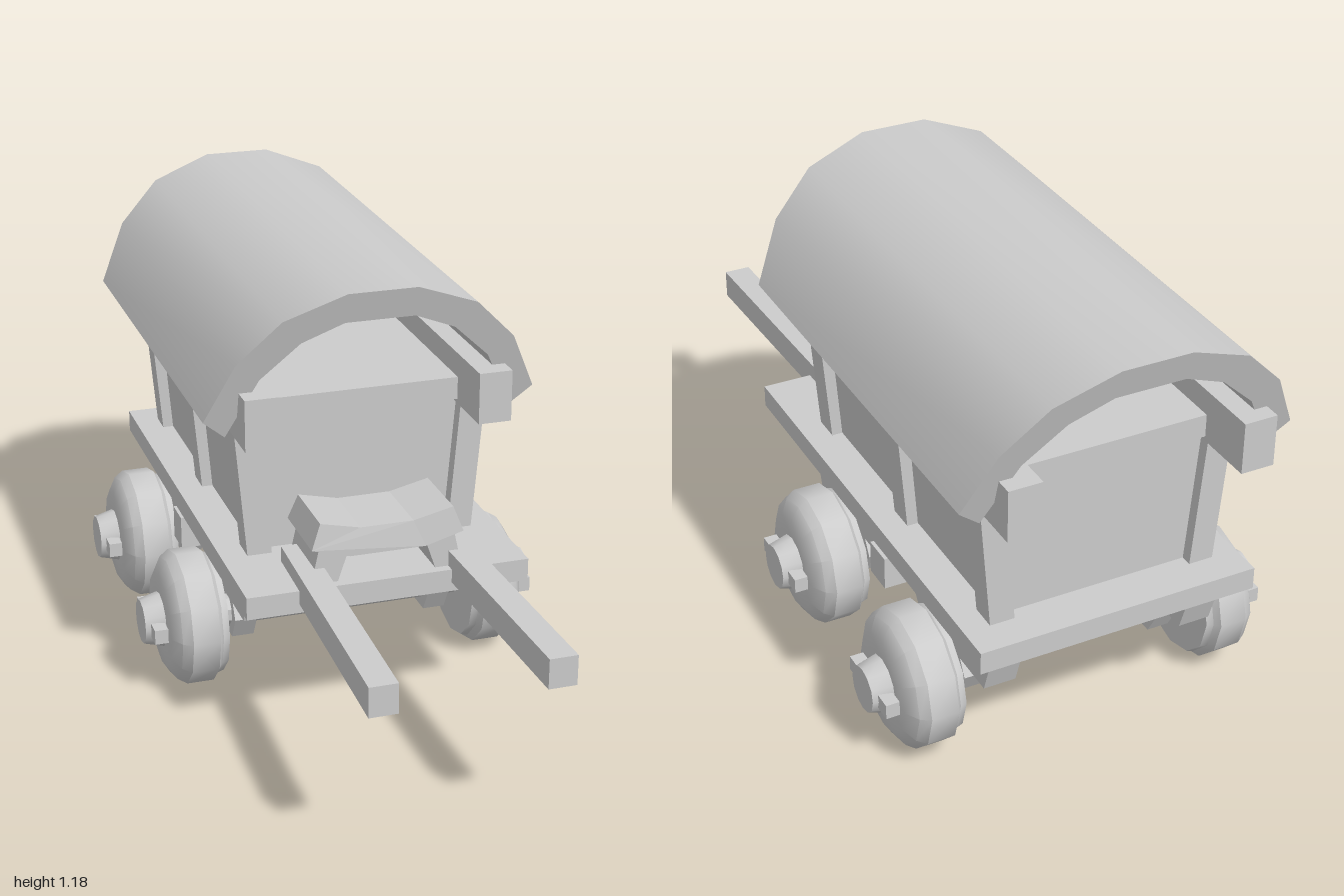
import * as THREE from 'three';
import { toCreasedNormals } from 'three/addons/utils/BufferGeometryUtils.js';

const mat = new THREE.MeshStandardMaterial({ color: 0xcccccc });
const flat = new THREE.MeshStandardMaterial({ color: 0xcccccc, flatShading: true });

export function createModel() {
  const group = new THREE.Group();

  const add = (name, geo, material = flat) => {
    const mesh = new THREE.Mesh(geo, material);
    mesh.name = name;
    group.add(mesh);
    return mesh;
  };
  // Box given by its limits
  const box = (name, x0, x1, y0, y1, z0, z1) =>
    add(name, new THREE.BoxGeometry(x1 - x0, y1 - y0, z1 - z0)
      .translate((x0 + x1) / 2, (y0 + y1) / 2, (z0 + z1) / 2));
  // Outline in x,y extruded from z0 to z1
  const prism = (pts, z0, z1) => new THREE.ExtrudeGeometry(
    new THREE.Shape(pts.map(p => new THREE.Vector2(p[0], p[1]))),
    { depth: z1 - z0, bevelEnabled: false }).translate(0, 0, z0);
  // Left half of an outline completed with its mirror image
  const mirrored = pts => [...pts, ...pts.map(([x, y]) => [-x, y]).reverse()];

  // Arched roof, its ends leaning outwards towards the top
  const outer = [[0.433, 0.855], [0.36, 1.01], [0.25, 1.12], [0.09, 1.18]];
  const inner = [[0.375, 0.805], [0.297, 0.962], [0.198, 1.055], [0.09, 1.1]];
  const roof = prism([...mirrored(outer), ...mirrored(inner).reverse()], 0, 1);
  const p = roof.attributes.position;
  for (let i = 0; i < p.count; i++) {
    const drop = 1.18 - p.getY(i);
    p.setZ(i, p.getZ(i) > 0.5 ? 0.345 - drop * 0.28 : -1 + drop * 0.29);
  }
  add('roof', toCreasedNormals(roof, 0.6), mat);

  // Cabin, widening upwards
  add('cabin', prism([[-0.275, 0.43], [0.275, 0.43], [0.31, 0.867], [-0.31, 0.867]], -0.785, 0.14));
  box('frontCrossbar', -0.27, 0.27, 0.807, 0.867, 0.1, 0.175);
  box('backCrossbar', -0.27, 0.27, 0.807, 0.867, -0.815, -0.74);

  // Platform and the beam beneath its middle
  box('platform', -0.373, 0.373, 0.383, 0.443, -0.9, 0.41);
  box('underCrossbeam', -0.37, 0.37, 0.27, 0.36, -0.365, -0.28);

  // Driver's seat
  const seat = prism([[-0.2, 0.54], [-0.1, 0.512], [0.1, 0.512], [0.2, 0.54],
    [0.175, 0.606], [0.07, 0.582], [-0.07, 0.582], [-0.175, 0.606]], 0.185, 0.395);
  const sp = seat.attributes.position;
  for (let i = 0; i < sp.count; i++) {
    if (sp.getY(i) > 0.56) sp.setZ(i, 0.29 + (sp.getZ(i) - 0.29) * 0.9);
  }
  seat.computeVertexNormals();
  add('seat', seat);

  for (const s of [1, -1]) {
    const side = s > 0 ? 'left' : 'right';
    const span = (name, a, b, ...rest) => box(side + name, Math.min(s * a, s * b), Math.max(s * a, s * b), ...rest);
    const sided = pts => (s > 0 ? pts : pts.map(([x, y]) => [-x, y]).reverse());

    span('RoofBeam', 0.26, 0.347, 0.795, 0.93, -0.972, 0.328);

    // Leaning wall posts
    for (const [z0, z1] of [[0.1, 0.175], [-0.365, -0.29], [-0.815, -0.745]]) {
      add(side + 'Post', prism(sided([[0.24, 0.44], [0.305, 0.44], [0.336, 0.8], [0.27, 0.8]]), z0, z1));
    }

    add(side + 'SeatSupport', prism(sided([[0.13, 0.44], [0.2, 0.44], [0.18, 0.53], [0.103, 0.52]]), 0.2, 0.385));

    // Pulling shaft, spreading towards the front
    const shaft = span('Shaft', 0.16, 0.232, 0.407, 0.485, 0.23, 1).geometry.attributes.position;
    for (let i = 0; i < shaft.count; i++) {
      if (shaft.getZ(i) > 0.6) shaft.setX(i, shaft.getX(i) + s * 0.022);
    }

    // Chassis rail with a notch in the middle; outline runs along z
    const rail = prism([[0.205, 0.385], [0.16, 0.25], [-0.19, 0.25], [-0.235, 0.312], [-0.405, 0.312],
      [-0.45, 0.25], [-0.805, 0.25], [-0.85, 0.385]], -0.0425, 0.0425);
    add(side + 'ChassisRail', rail.rotateY(-Math.PI / 2).translate(s * 0.272, 0, 0));
  }

  // Axles, bearings and wheels
  const wheelProfile = [[0, 0.34], [0.16, 0.34], [0.165, 0.358], [0.182, 0.37], [0.182, 0.443], [0.165, 0.468],
    [0.128, 0.49], [0.074, 0.49], [0.06, 0.543], [0, 0.543]].map(q => new THREE.Vector2(...q));
  const wheelGeo = toCreasedNormals(
    new THREE.LatheGeometry(wheelProfile, 12).rotateZ(-Math.PI / 2).toNonIndexed(), 0.56);
  for (const z of [-0.045, -0.605]) {
    const end = z > -0.3 ? 'front' : 'back';
    const y = 0.185;
    add(end + 'Axle', new THREE.CylinderGeometry(0.042, 0.042, 0.72, 8)
      .rotateY(Math.PI / 8).rotateZ(Math.PI / 2).translate(0, y, z));
    for (const s of [1, -1]) {
      add(end + 'Bearing', new THREE.CylinderGeometry(0.075, 0.075, 0.06, 6)
        .rotateZ(Math.PI / 2).translate(s * 0.273, y, z));
      const wheel = add(end + 'Wheel', wheelGeo, mat);
      wheel.position.set(0, y, z);
      wheel.rotation.y = s > 0 ? 0 : Math.PI;
      add(end + 'WheelPin', new THREE.BoxGeometry(0.036, 0.04, 0.212).translate(s * 0.511, y, z));
    }
  }
  return group;
}
